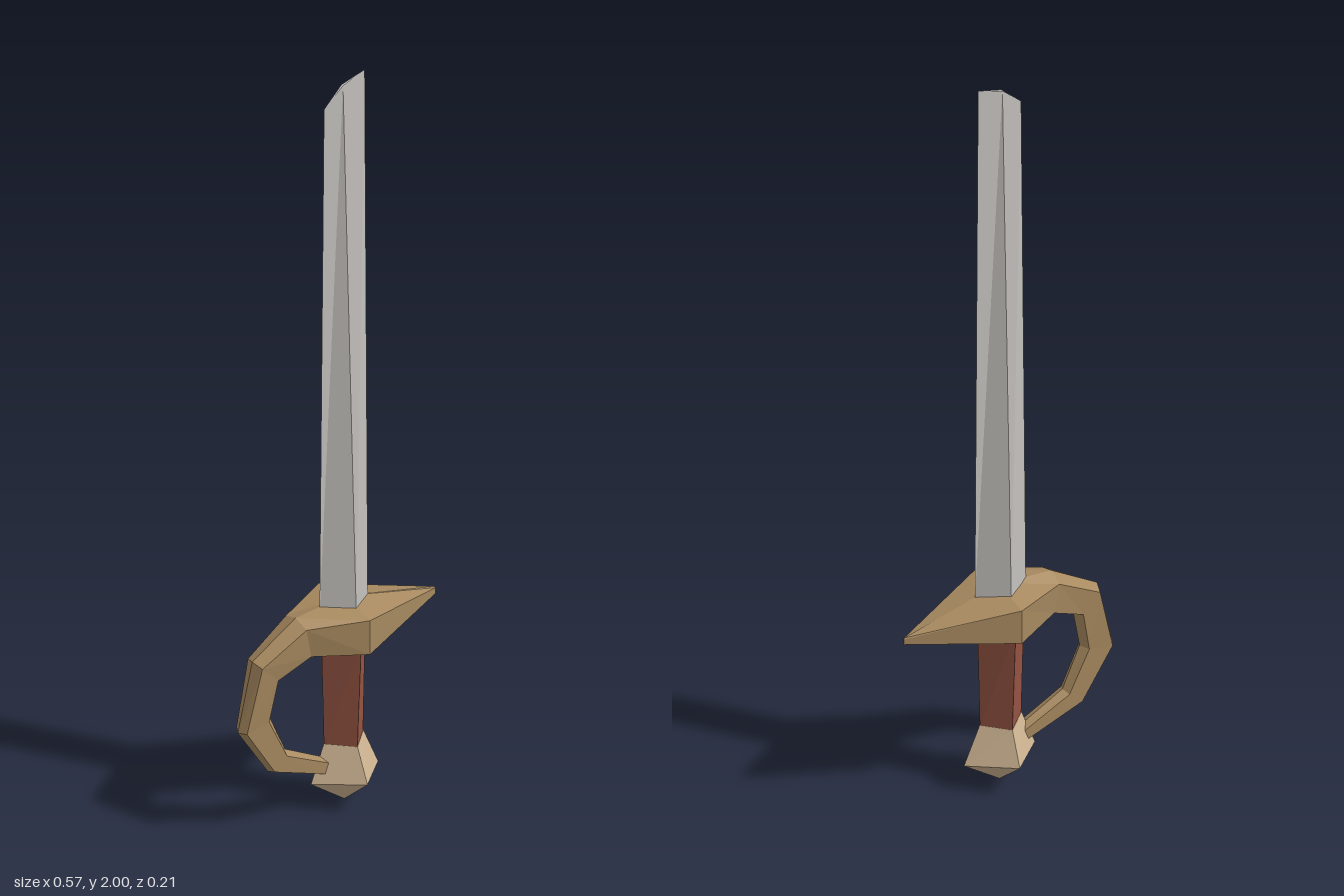
import * as THREE from 'three';

const material = (name, color) => {
  const m = new THREE.MeshStandardMaterial({ color });
  m.name = name;
  return m;
};

// Flat-faced skin over a row of rings; each ring runs anticlockwise seen from the end it leads to.
function loft(rings) {
  const pos = [];
  const tri = (a, b, c) => {
    const area = b.clone().sub(a).cross(c.clone().sub(a)).length();
    if (area > 1e-9) for (const p of [a, b, c]) pos.push(p.x, p.y, p.z);
  };
  const n = rings[0].length;
  for (let r = 0; r < rings.length - 1; r++) {
    const a = rings[r], b = rings[r + 1];
    for (let i = 0; i < n; i++) {
      const j = (i + 1) % n;
      tri(a[i], a[j], b[j]);
      tri(a[i], b[j], b[i]);
    }
  }
  const first = rings[0], last = rings[rings.length - 1];
  for (let i = 1; i < n - 1; i++) {
    tri(first[0], first[i + 1], first[i]);
    tri(last[0], last[i], last[i + 1]);
  }
  const g = new THREE.BufferGeometry();
  g.setAttribute('position', new THREE.Float32BufferAttribute(pos, 3));
  g.computeVertexNormals();
  return g;
}

const V = (x, y, z) => new THREE.Vector3(x, y, z);

// Diamond ring: left and right corners, ridge in the middle, height may differ per corner.
const diamond = (x0, x1, xm, z, yRight, yMid = yRight, yLeft = yRight) =>
  [V(x1, yRight, 0), V(xm, yMid, -z), V(x0, yLeft, 0), V(xm, yMid, z)];

// Six-sided guard section between an outer and an inner ridge point.
function guardRing([ox, oy, ix, iy, w]) {
  const O = V(ox, oy, 0), I = V(ix, iy, 0);
  const at = (t, z) => O.clone().lerp(I, t).setZ(z);
  return [O, at(0.13, -w), at(0.84, -w), I, at(0.84, w), at(0.13, w)];
}

export function createModel() {
  const group = new THREE.Group();
  group.name = 'sabre';
  const add = (name, rings, mat) => {
    const mesh = new THREE.Mesh(loft(rings), mat);
    mesh.name = name;
    group.add(mesh);
  };

  const steel = material('steel', 0xc4c1bd);
  const leather = material('red leather', 0x955443);
  const brass = material('dull brass', 0xa88a60);
  const bone = material('pale bone', 0xd0b694);

  // Blade thins to an edge at its slanted end
  add('blade', [
    diamond(-0.05, 0.09, 0.02, 0.052, 0.53),
    diamond(-0.037, 0.081, 0.016, 0.003, 2.0, 1.98, 1.93),
  ], steel);

  // Grip
  add('grip', [
    diamond(-0.037, 0.076, 0.02, 0.056, 0.165),
    diamond(-0.045, 0.083, 0.02, 0.073, 0.47),
  ], leather);

  // Pommel with a pointed foot
  add('pommel', [
    diamond(0.022, 0.022, 0.022, 0, 0),
    diamond(-0.075, 0.12, 0.022, 0.095, 0.07, 0.085, 0.073),
    diamond(-0.038, 0.077, 0.02, 0.057, 0.172),
  ], bone);

  // Guard: pointed quillon, broad middle, then the knuckle bow curling to the pommel
  add('guard', [
    [0.285, 0.496, 0.285, 0.475, 0.002],
    [0.022, 0.562, 0.022, 0.43, 0.105],
    [-0.12, 0.55, -0.1, 0.44, 0.042],
    [-0.245, 0.472, -0.18, 0.405, 0.03],
    [-0.287, 0.29, -0.197, 0.307, 0.022],
    [-0.2, 0.153, -0.15, 0.198, 0.02],
    [-0.045, 0.095, -0.03, 0.132, 0.018],
  ].map(guardRing), brass);

  return group;
}
